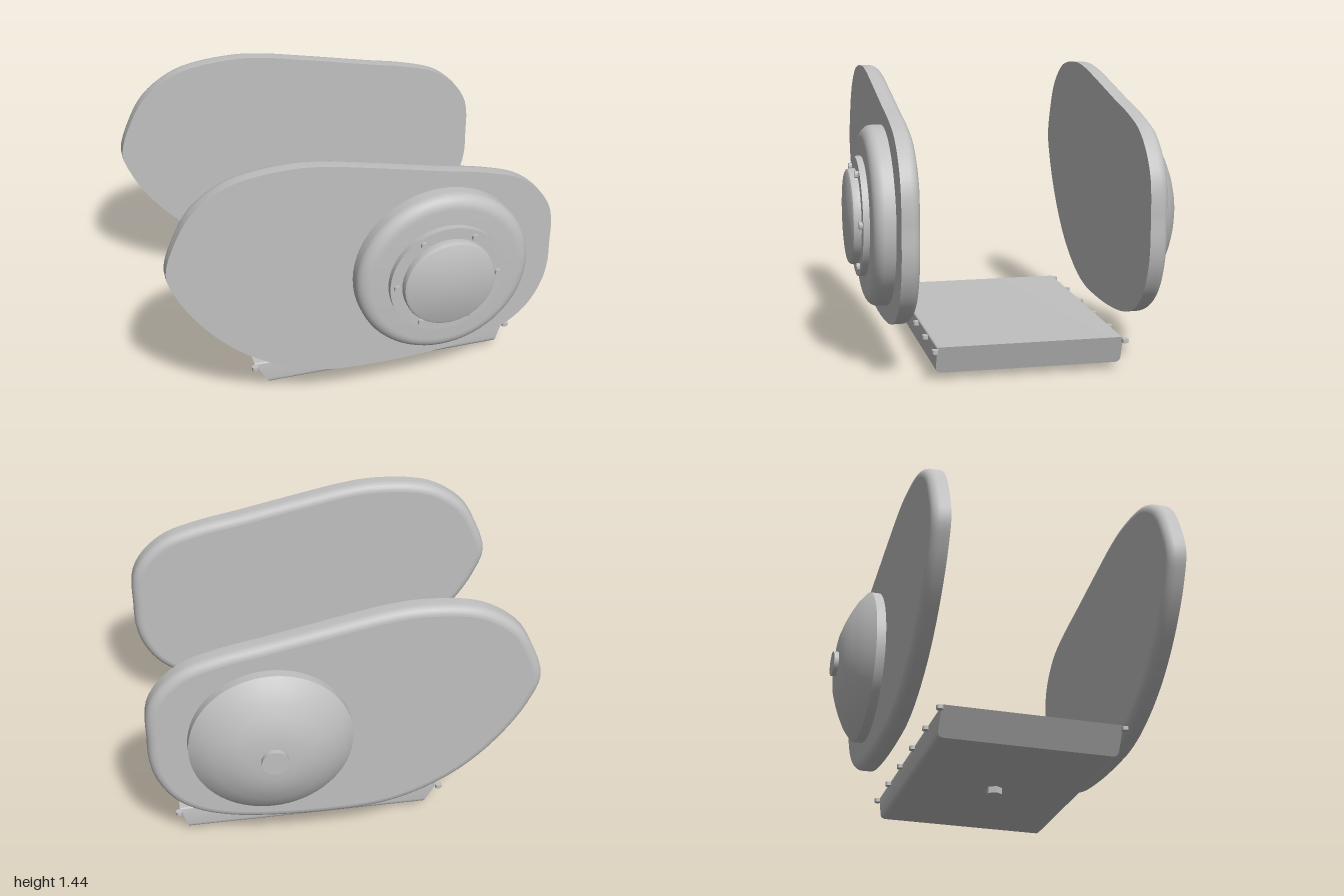
import * as THREE from 'three';
import { toCreasedNormals } from 'three/addons/utils/BufferGeometryUtils.js';
import { ParametricGeometry } from 'three/addons/geometries/ParametricGeometry.js';

const metal = new THREE.MeshStandardMaterial({ color: 0xc0c0c0 });
metal.name = 'greyMetal';

function add(parent, name, geometry, x = 0, y = 0, z = 0) {
  const mesh = new THREE.Mesh(geometry, metal);
  mesh.name = name;
  mesh.position.set(x, y, z);
  parent.add(mesh);
  return mesh;
}

// Turned part along z: profile of [radius, height]; dir 1 faces front, -1 faces back
function turned(profile, dir, segments = 64) {
  const g = new THREE.LatheGeometry(profile.map(p => new THREE.Vector2(...p)), segments);
  g.rotateX(dir * Math.PI / 2);
  return toCreasedNormals(g, 0.6);
}

// Outline of a side cover, clockwise from the left end
const outline = new THREE.CatmullRomCurve3([
  [-1, 0.95], [-0.94, 1.14], [-0.86, 1.27], [-0.71, 1.38], [-0.58, 1.42], [-0.34, 1.437],
  [-0.18, 1.42], [0, 1.385], [0.4, 1.3], [0.62, 1.255], [0.8, 1.195], [0.917, 1.1],
  [0.98, 1], [1, 0.9], [1, 0.78], [1, 0.66], [0.976, 0.54], [0.9, 0.4], [0.78, 0.3],
  [0.6, 0.235], [0.33, 0.2], [0.03, 0.193], [-0.18, 0.207], [-0.37, 0.26], [-0.58, 0.37],
  [-0.74, 0.505], [-0.875, 0.67], [-0.955, 0.81],
].map(([x, y]) => new THREE.Vector3(x, y, 0)), true, 'centripetal');

const STEPS = 120;
const THICK = 0.094;

// Point on the outline moved inwards
function insetPoint(u, inset, z, target = new THREE.Vector3()) {
  const t = outline.getTangentAt(u % 1);
  const p = outline.getPointAt(u % 1);
  return target.set(p.x + t.y * inset, p.y - t.x * inset, z);
}

function capGeometry(inset) {
  const pts = [];
  for (let i = 0; i < STEPS; i++) {
    const p = insetPoint(i / STEPS, inset, 0);
    pts.push(new THREE.Vector2(p.x, p.y));
  }
  return new THREE.ShapeGeometry(new THREE.Shape(pts));
}

// Cover plate: sharp front edge, rounded back edge
function coverPlate(name, z) {
  const group = new THREE.Group();
  group.name = name;
  const R = 0.045;
  const rim = [[0, THICK]];
  for (let i = 0; i <= 6; i++) {
    const a = i / 6 * Math.PI / 2;
    rim.push([R * (1 - Math.cos(a)), R * (1 - Math.sin(a))]);
  }
  const side = new ParametricGeometry((u, v, target) => {
    const [inset, h] = rim[Math.round(v * (rim.length - 1))];
    insetPoint(u, inset, h, target);
  }, STEPS, rim.length - 1);
  add(group, name + 'Rim', toCreasedNormals(side, 0.7));
  add(group, name + 'Front', capGeometry(0), 0, 0, THICK);
  const back = capGeometry(R);
  back.index.array.reverse();
  back.computeVertexNormals();
  add(group, name + 'Back', back);
  group.position.z = z;
  return group;
}

// Oil pan: rounded section run along x, ends sloping inwards to the bottom
function panGeometry() {
  const w = 0.468, y0 = 0.035, y1 = 0.175, r = 0.03, t = 0.01;
  const s = new THREE.Shape();
  s.moveTo(-w + r, y0);
  s.lineTo(w - r, y0);
  s.quadraticCurveTo(w, y0, w, y0 + r);
  s.lineTo(w, y1 - t);
  s.quadraticCurveTo(w, y1, w - t, y1);
  s.lineTo(-w + t, y1);
  s.quadraticCurveTo(-w, y1, -w, y1 - t);
  s.lineTo(-w, y0 + r);
  s.quadraticCurveTo(-w, y0, -w + r, y0);
  const g = new THREE.ExtrudeGeometry(s, { depth: 1.395, bevelEnabled: false, curveSegments: 6 });
  g.rotateY(Math.PI / 2);
  const p = g.attributes.position;
  for (let i = 0; i < p.count; i++) {
    const drop = (y1 - p.getY(i)) / (y1 - y0);
    const left = p.getX(i) < 0.7;
    p.setX(i, p.getX(i) - 0.535 + drop * (left ? 0.08 : -0.045));
  }
  return toCreasedNormals(g, 0.6);
}

export function createModel() {
  const model = new THREE.Group();
  model.name = 'engineCovers';
  const CX = 0.393, CY = 0.75;

  model.add(coverPlate('frontCover', 0.571), coverPlate('backCover', -0.64));

  // Front housing with rounded rim, bolted ring and cap
  const body = [[0.455, 0], [0.455, 0.05]];
  for (let i = 1; i <= 8; i++) {
    const a = i / 8 * Math.PI / 2;
    body.push([0.385 + 0.07 * Math.cos(a), 0.05 + 0.058 * Math.sin(a)]);
  }
  body.push([0, 0.108]);
  add(model, 'frontHousing', turned(body, 1), CX, CY, 0.664);
  add(model, 'frontRing', turned([[0.302, 0], [0.302, 0.032], [0, 0.032]], 1), CX, CY, 0.772);
  add(model, 'frontCap',
    turned([[0.24, 0], [0.24, 0.028], [0.236, 0.038], [0.226, 0.044], [0, 0.044]], 1), CX, CY, 0.804);
  const ringBolt = turned([[0.018, 0], [0.018, 0.018], [0, 0.018]], 1, 12);
  for (let i = 0; i < 6; i++) {
    const a = i * Math.PI / 3;
    add(model, 'ringBolt', ringBolt, CX + 0.267 * Math.cos(a), CY + 0.267 * Math.sin(a), 0.803);
  }

  // Back dome with centre knob
  add(model, 'backDome', turned([[0.415, 0], [0.415, 0.05], [0.365, 0.092], [0.305, 0.125],
    [0.25, 0.15], [0.19, 0.172], [0.12, 0.184], [0, 0.187]], -1), CX - 0.004, CY, -0.639);
  add(model, 'backKnob', turned([[0.068, 0], [0.068, 0.032], [0, 0.032]], -1, 32), CX - 0.004, CY, -0.818);

  // Oil pan, flange bolts and drain plug
  add(model, 'oilPan', panGeometry(), 0, 0, 0.009);
  const panBolt = toCreasedNormals(new THREE.CylinderGeometry(0.018, 0.018, 0.02, 12), 0.6);
  for (const side of [-1, 1]) {
    for (let i = 0; i < 6; i++) {
      add(model, 'panBolt', panBolt, -0.535 + i * 0.28, 0.157, 0.009 + side * 0.478);
    }
  }
  const plug = new THREE.CylinderGeometry(0.043, 0.043, 0.04, 6);
  plug.rotateY(Math.PI / 6);
  add(model, 'drainPlug', toCreasedNormals(plug, 0.6), 0.165, 0.02, 0.012);

  return model;
}
